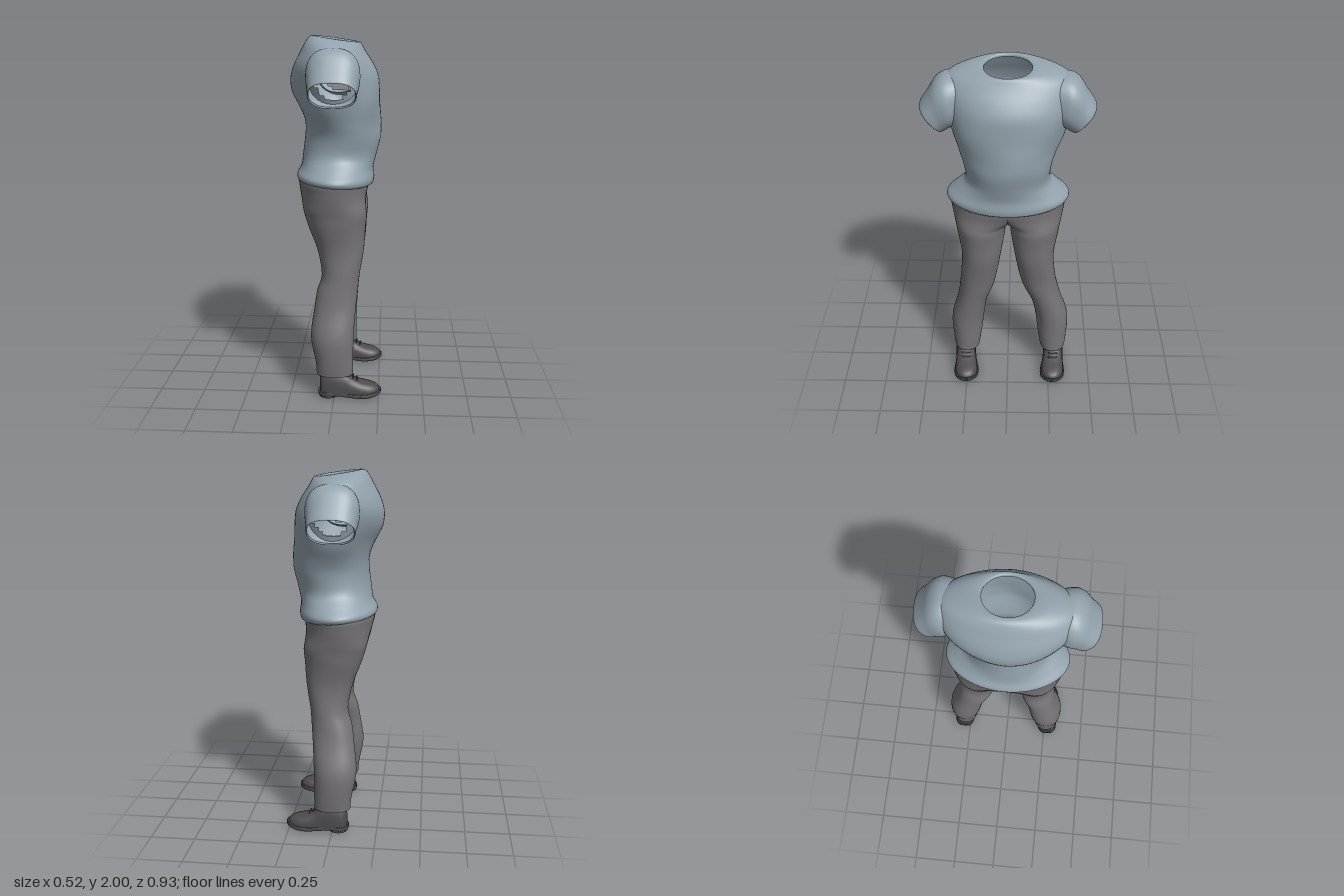
import * as THREE from 'three';

const material = (name, color) => {
  const m = new THREE.MeshStandardMaterial({ color, side: THREE.DoubleSide });
  m.name = name;
  return m;
};

// Smoothly interpolate a short table of cross-section values
function refine(rows, steps) {
  const out = [];
  const last = rows.length - 1;
  for (let i = 0; i < last; i++) {
    const [p, a, b, q] = [rows[Math.max(i - 1, 0)], rows[i], rows[i + 1], rows[Math.min(i + 2, last)]];
    for (let s = 0; s < steps; s++) {
      const t = s / steps;
      out.push(a.map((v, k) => 0.5 * (2 * v + (b[k] - p[k]) * t
        + (2 * p[k] - 5 * v + 4 * b[k] - q[k]) * t * t
        + (3 * v - p[k] - 3 * b[k] + q[k]) * t * t * t)));
    }
  }
  out.push(rows[last]);
  return out;
}

// Skin closed rings; point(row, angle) gives [x, y, z]; skip drops faces by their corners
function loft(rows, n, point, flip = false, skip = () => false) {
  const pos = [];
  const index = [];
  for (const r of rows) for (let j = 0; j < n; j++) pos.push(point(r, (j / n) * Math.PI * 2));
  const tri = (a, b, c) => (flip ? index.push(a, c, b) : index.push(a, b, c));
  for (let i = 0; i < rows.length - 1; i++) {
    for (let j = 0; j < n; j++) {
      const a = i * n + j, b = i * n + ((j + 1) % n), c = a + n, d = b + n;
      if (skip([a, b, c, d].map((k) => pos[k]))) continue;
      tri(a, c, b);
      tri(b, c, d);
    }
  }
  const g = new THREE.BufferGeometry();
  g.setAttribute('position', new THREE.Float32BufferAttribute(pos.flat(), 3));
  g.setIndex(index);
  g.computeVertexNormals();
  return g;
}

const soft = (v, e) => Math.sign(v) * Math.abs(v) ** e;

export function createModel() {
  const model = new THREE.Group();
  const shirt = material('blue grey shirt', 0x93a3ad);
  const trousers = material('grey trousers', 0x767477);
  const leather = material('dark shoe leather', 0x4d4b4d);
  const add = (name, geometry, mat, parent = model) => {
    const mesh = new THREE.Mesh(geometry, mat);
    mesh.name = name;
    parent.add(mesh);
    return mesh;
  };

  // Shirt body: y, back x, front x, half width, tilt
  const body = refine([
    [1.225, -0.205, 0.185, 0.315, -0.07],
    [1.205, -0.222, 0.205, 0.328, -0.07],
    [1.235, -0.222, 0.212, 0.34, -0.05],
    [1.285, -0.2, 0.207, 0.29, -0.02],
    [1.35, -0.19, 0.222, 0.235, 0],
    [1.45, -0.178, 0.246, 0.238, 0],
    [1.53, -0.18, 0.245, 0.262, 0],
    [1.61, -0.205, 0.242, 0.295, 0],
    [1.7, -0.245, 0.242, 0.32, 0],
    [1.78, -0.255, 0.232, 0.34, 0],
    [1.85, -0.235, 0.2, 0.352, 0],
    [1.91, -0.2, 0.165, 0.34, -0.03],
    [1.95, -0.175, 0.145, 0.295, -0.08],
    [1.978, -0.15, 0.132, 0.205, -0.12],
    [1.982, -0.122, 0.118, 0.133, -0.15],
    [1.968, -0.117, 0.113, 0.127, -0.15],
  ], 4);
  const inSleeve = (q) => {
    const [x, y, z] = [0, 1, 2].map((k) => q.reduce((s, p) => s + p[k], 0) / 4);
    return Math.abs(z) > 0.2 && (x / 0.105) ** 2 + ((y - 1.79) / 0.11) ** 2 < 1;
  };
  add('shirtBody', loft(body, 64, ([y, back, front, w, tilt], a) => {
    // gentle cloth folds, fading at the hem and collar
    const fade = Math.max(0, Math.sin(Math.PI * (y - 1.22) / 0.7));
    const fold = 1 + fade * (0.012 * Math.sin(5 * a + 14 * y) + 0.01 * Math.sin(3 * a - 23 * y));
    const x = (back + front) / 2 + ((front - back) / 2) * Math.cos(a) * fold;
    return [x, y + tilt * x, w * Math.sin(a) * fold];
  }, false, inSleeve), shirt);

  // Sleeves: top z, top y, bottom z, bottom y, half depth
  const sleeve = refine([
    [0.25, 1.94, 0.25, 1.67, 0.125],
    [0.325, 1.942, 0.29, 1.66, 0.142],
    [0.378, 1.91, 0.308, 1.65, 0.14],
    [0.42, 1.845, 0.323, 1.64, 0.132],
    [0.463, 1.78, 0.34, 1.633, 0.127],
    [0.455, 1.777, 0.338, 1.642, 0.12],
  ], 4);
  // Trouser legs, bottom up: y, back x, front x, centre z, half width
  const leg = refine([
    [0.13, -0.1, 0.105, 0.266, 0.078],
    [0.2, -0.106, 0.106, 0.264, 0.086],
    [0.35, -0.132, 0.108, 0.255, 0.097],
    [0.5, -0.115, 0.118, 0.22, 0.09],
    [0.6, -0.1, 0.128, 0.19, 0.099],
    [0.69, -0.075, 0.137, 0.172, 0.104],
    [0.83, -0.1, 0.16, 0.154, 0.114],
    [0.95, -0.145, 0.168, 0.152, 0.13],
    [1.03, -0.17, 0.175, 0.152, 0.143],
    [1.07, -0.18, 0.17, 0.143, 0.16],
    [1.12, -0.192, 0.168, 0.09, 0.222],
    [1.17, -0.206, 0.178, 0.025, 0.295],
    [1.22, -0.212, 0.185, 0, 0.322],
    [1.26, -0.19, 0.185, 0, 0.275],
  ], 4);

  for (const side of [1, -1]) {
    const label = side > 0 ? 'left' : 'right';
    add(label + 'Sleeve', loft(sleeve, 36, ([tz, ty, bz, by, d], a) => {
      const s = soft(Math.sin(a), 0.85) / 2;
      return [d * soft(Math.cos(a), 0.8) - 0.003, (ty + by) / 2 + (ty - by) * s,
        side * ((tz + bz) / 2 + (tz - bz) * s)];
    }, side > 0), shirt);

    // each leg meets its twin on the centre plane above the crotch
    add(label + 'TrouserLeg', loft(leg, 48, ([y, back, front, c, w], a) => {
      const fold = 1 + 0.015 * Math.sin(2 * a + 17 * y) * (y < 1 ? 1 : 0);
      const z = Math.max(0, c + w * soft(Math.sin(a), 0.92) * fold);
      const drift = -0.012 * THREE.MathUtils.smoothstep(0.75 - y, 0, 0.4);
      return [(back + front) / 2 + ((front - back) / 2) * soft(Math.cos(a), 0.92), y, side * z + drift];
    }, side < 0, (q) => q.every((p) => Math.abs(p[2]) < 1e-6)), trousers);

    const shoe = new THREE.Group();
    shoe.name = label + 'Shoe';
    shoe.position.set(0, 0, side * 0.276 - 0.01);
    shoe.rotation.y = side * 0.06;
    model.add(shoe);

    // Shoe upper: x, half width, top height
    const upper = refine([
      [-0.082, 0.002, 0.05], [-0.08, 0.03, 0.12], [-0.06, 0.053, 0.155], [0, 0.062, 0.165],
      [0.06, 0.062, 0.145], [0.1, 0.064, 0.112], [0.15, 0.068, 0.09], [0.2, 0.064, 0.078],
      [0.235, 0.047, 0.066], [0.252, 0.025, 0.05], [0.256, 0.002, 0.035],
    ], 3);
    add('shoeUpper', loft(upper, 28, ([x, w, top], a) => {
      const s = Math.sin(a);
      return [x, 0.026 + (s > 0 ? (top - 0.026) * soft(s, 0.8) : 0.004 * s), w * soft(Math.cos(a), 0.75)];
    }), leather);

    // Sole: x, half width, underside, thickness
    const sole = refine([
      [-0.09, 0.002, 0.012, 0.022], [-0.086, 0.036, 0.012, 0.024], [-0.05, 0.06, 0.012, 0.024],
      [0.02, 0.062, 0.013, 0.022], [0.08, 0.066, 0.006, 0.024], [0.15, 0.075, 0.002, 0.026],
      [0.205, 0.07, 0.006, 0.026], [0.24, 0.05, 0.012, 0.026], [0.26, 0.026, 0.018, 0.025],
      [0.265, 0.002, 0.02, 0.022],
    ], 3);
    add('shoeSole', loft(sole, 24, ([x, w, low, t], a) =>
      [x, low + t / 2 + (t / 2) * soft(Math.sin(a), 0.35), w * soft(Math.cos(a), 0.35)]), leather);

    const heel = add('shoeHeel', new THREE.CylinderGeometry(0.054, 0.052, 0.026, 24), leather, shoe);
    heel.position.set(-0.033, 0.014, 0);
    heel.scale.z = 1.08;

    for (let i = 0; i < 3; i++) {
      const lace = add('shoeLace', new THREE.CapsuleGeometry(0.005, 0.05, 3, 8), leather, shoe);
      lace.rotation.x = Math.PI / 2;
      lace.position.set(0.085 + i * 0.022, 0.126 - i * 0.013, 0);
    }
    // gather the lofted shoe pieces into the shoe group
    model.children.filter((c) => c.name === 'shoeUpper' || c.name === 'shoeSole').forEach((c) => shoe.add(c));
  }
  return model;
}
